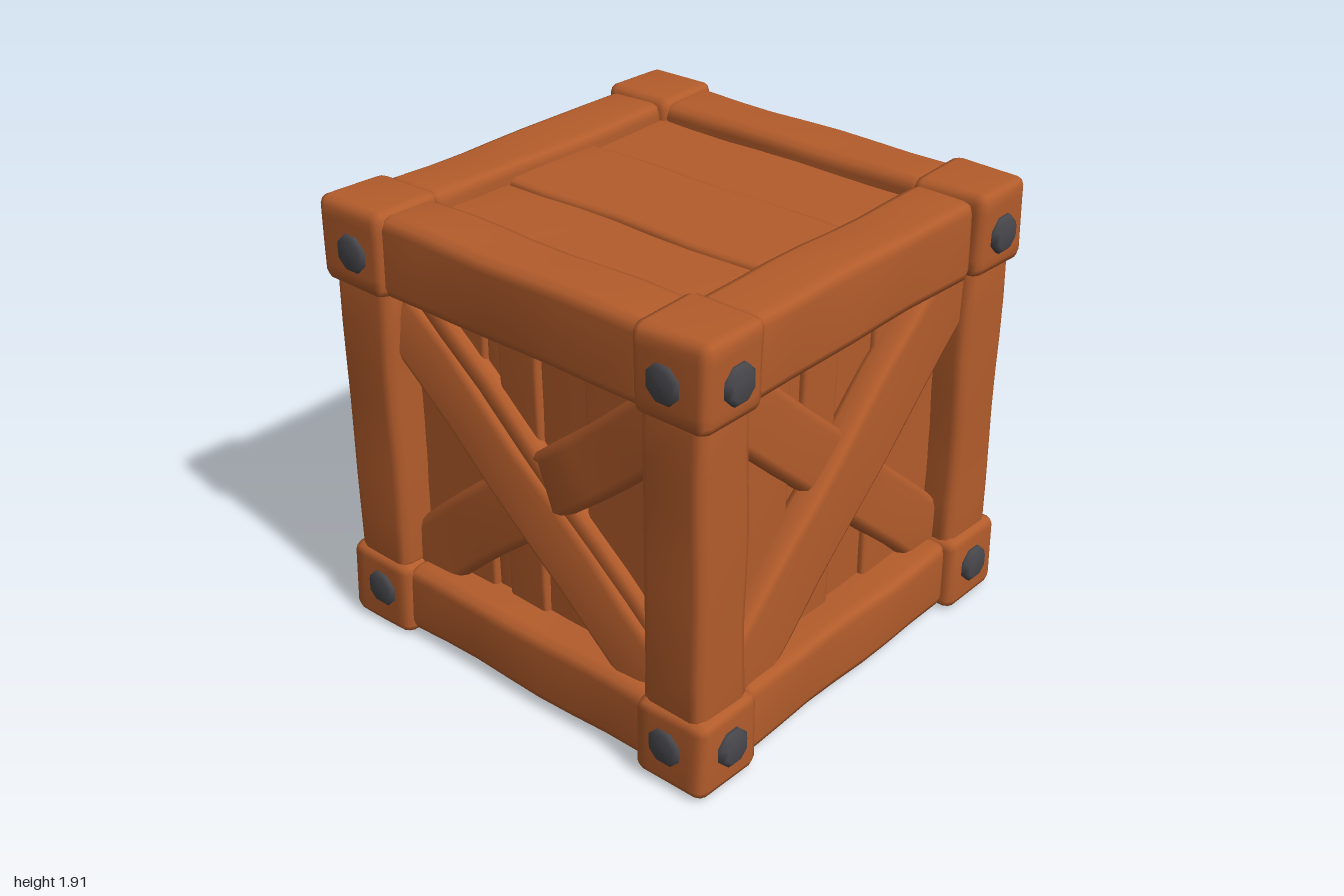
import * as THREE from 'three';
import { mergeVertices } from 'three/addons/utils/BufferGeometryUtils.js';

const wood = new THREE.MeshStandardMaterial({ color: 0xb35c2b });
wood.name = 'brown wood';
const iron = new THREE.MeshStandardMaterial({ color: 0x48484d });
iron.name = 'dark iron';

let seed = 0;

// Hand-hewn block: a box with softened edges and a slight, smooth waviness
function hewn(w, h, d, r = 0.03, wave = 0.004) {
  const size = [w, h, d];
  const longest = size.indexOf(Math.max(...size));
  const segs = size.map((s, i) => (i === longest ? 9 : 3));
  let geo = new THREE.BoxGeometry(w, h, d, ...segs);
  geo.deleteAttribute('uv');
  geo.deleteAttribute('normal');
  geo = mergeVertices(geo, 1e-5);
  const pos = geo.attributes.position;
  const s = ++seed * 2.4;
  for (let i = 0; i < pos.count; i++) {
    const inner = new THREE.Vector3(), off = new THREE.Vector3();
    for (let a = 0; a < 3; a++) {
      const v = pos.getComponent(i, a), n = segs[a], t = (v / size[a]) * n;
      const lim = size[a] / 2 - r;
      const outer = Math.abs(t) > n / 2 - 0.5;
      inner.setComponent(a, outer ? Math.sign(v) * lim : (t / (n / 2 - 1)) * lim);
      off.setComponent(a, outer ? Math.sign(v) * r : 0);
    }
    const p = inner.clone().add(off.setLength(r));
    pos.setXYZ(i,
      p.x + wave * Math.sin(p.y * 7 + p.z * 9 + s),
      p.y + wave * Math.sin(p.x * 8 + p.z * 6 + s * 1.7),
      p.z + wave * Math.sin(p.x * 7 + p.y * 8 + s * 2.3));
  }
  geo.computeVertexNormals();
  return geo;
}

// Move the vertices of a mesh by a rule
function reshape(mesh, rule) {
  const pos = mesh.geometry.attributes.position;
  const p = new THREE.Vector3();
  for (let i = 0; i < pos.count; i++) {
    rule(p.fromBufferAttribute(pos, i));
    pos.setXYZ(i, p.x, p.y, p.z);
  }
  mesh.geometry.computeVertexNormals();
}

function add(parent, name, geo, material, x, y, z) {
  const mesh = new THREE.Mesh(geo, material);
  mesh.name = name;
  mesh.position.set(x, y, z);
  parent.add(mesh);
  return mesh;
}

// Diagonal board on a wall that faces +z; front is its outer surface
function brace(wall, name, x, y, front, length, width, angle, thick = 0.14) {
  const mesh = add(wall, name, hewn(length, width, thick, 0.04, 0.004), wood, x, y, front - thick / 2);
  mesh.rotation.z = angle;
  return mesh;
}

// Upright planks with shallow steps between them
function wallPlanks(wall) {
  const edges = [-0.7, -0.28, -0.19, 0, 0.25, 0.7];
  for (let i = 0; i < edges.length - 1; i++) {
    const w = edges[i + 1] - edges[i];
    const front = i % 2 ? 0.765 : 0.79;
    add(wall, 'wallPlank', hewn(w + 0.014, 1.4, 0.12, 0.018, 0.003), wood, edges[i] + w / 2, 0.94, front - 0.06);
  }
}

// Wall with one whole falling board and a snapped rising board
function splitWall() {
  const wall = new THREE.Group();
  wallPlanks(wall);
  const falling = brace(wall, 'fallingBrace', -0.04, 0.9, 0.885, 1.75, 0.26, -0.715);
  // Worn upper flank, narrower towards the top end
  reshape(falling, p => {
    if (p.y > 0) {
      p.z -= p.y * 0.3;
      p.y *= 0.95 + 0.1 * p.x;
    }
  });
  brace(wall, 'splinteredEdge', 0.02, 1.02, 0.83, 1.8, 0.12, -0.72, 0.1);
  brace(wall, 'lowerBrokenBrace', -0.35, 0.59, 0.85, 0.95, 0.3, 0.71);
  const upper = brace(wall, 'upperBrokenBrace', 0.45, 1.27, 0.88, 0.95, 0.27, 0.7);
  // Jagged snapped end, dipping towards the wall
  reshape(upper, p => {
    if (p.x < -0.4) {
      p.x += 0.05 * Math.sin(p.y * 25);
      p.z -= 0.02;
    }
  });
  return wall;
}

// Wall with a whole rising board laid over a falling one
function crossWall() {
  const wall = new THREE.Group();
  wallPlanks(wall);
  brace(wall, 'risingBrace', 0.01, 0.935, 0.89, 1.86, 0.335, 0.74);
  brace(wall, 'fallingBrace', 0, 0.94, 0.845, 1.86, 0.28, -0.735);
  return wall;
}

// Eight-sided bolt head whose axis points along dir
function bolt(parent, x, y, z, dir) {
  const profile = [[0, 0], [0.08, 0], [0.08, 0.038], [0.06, 0.055], [0, 0.057]];
  const geo = new THREE.LatheGeometry(profile.map(p => new THREE.Vector2(...p)), 8, Math.PI / 8);
  const mesh = add(parent, 'bolt', geo, iron, x, y, z);
  mesh.quaternion.setFromUnitVectors(new THREE.Vector3(0, 1, 0), dir);
}

export function createModel() {
  seed = 0;
  const crate = new THREE.Group();
  crate.name = 'crate';

  // Four walls, opposite ones matching
  ['frontWall', 'rightWall', 'backWall', 'leftWall'].forEach((name, i) => {
    const wall = i % 2 ? crossWall() : splitWall();
    wall.name = name;
    wall.rotation.y = (i * Math.PI) / 2;
    crate.add(wall);
  });

  // Lid planks and floor
  const lid = [-0.7, -0.24, 0.25, 0.7];
  for (let i = 0; i < 3; i++) {
    const d = lid[i + 1] - lid[i];
    add(crate, 'lidPlank', hewn(1.36, 0.14, d + 0.01, 0.025, 0.004), wood, 0, 1.74 + (i === 1 ? 0.015 : 0), lid[i] + d / 2);
  }
  add(crate, 'floor', new THREE.BoxGeometry(1.4, 0.1, 1.4), wood, 0, 0.12, 0);

  for (const sx of [-1, 1]) {
    // Horizontal rails at the top and bottom of each side
    for (const [y, h] of [[0.18, 0.305], [1.717, 0.335]]) {
      add(crate, 'sideRail', hewn(0.285, h, 1.34, 0.05), wood, sx * 0.788, y, 0);
      add(crate, 'crossRail', hewn(1.34, h, 0.285, 0.05), wood, 0, y, sx * 0.797);
    }
    for (const sz of [-1, 1]) {
      // Corner post
      add(crate, 'cornerPost', hewn(0.285, 1.3, 0.285, 0.045), wood, sx * 0.787, 0.945, sz * 0.803);
      // Corner blocks and their bolts
      for (const [y, h, boltY] of [[0.172, 0.335, 0.185], [1.727, 0.35, 1.71]]) {
        add(crate, 'cornerBlock', hewn(0.335, h, 0.325, 0.04, 0.004), wood, sx * 0.796, y, sz * 0.805);
        bolt(crate, sx * 0.938, boltY, sz * 0.8, new THREE.Vector3(sx, 0, 0));
        bolt(crate, sx * 0.78, boltY, sz * 0.932, new THREE.Vector3(0, 0, sz));
      }
      bolt(crate, sx * 0.78, 0.057, sz * 0.8, new THREE.Vector3(0, -1, 0));
    }
  }
  return crate;
}
